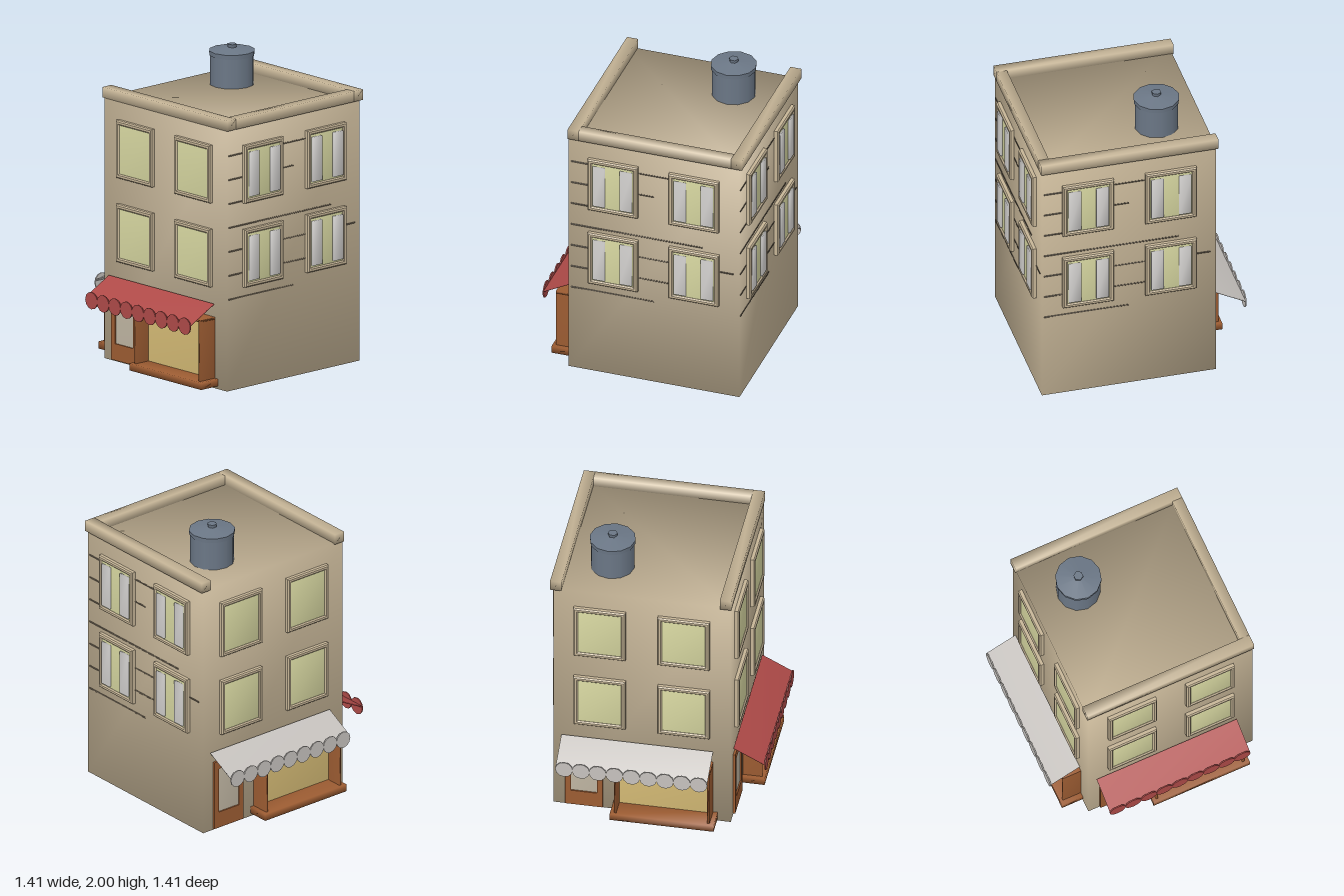
import * as THREE from 'three';
import { mergeVertices } from 'three/addons/utils/BufferGeometryUtils.js';

const mat = (name, color) => {
  const m = new THREE.MeshStandardMaterial({ color });
  m.name = name;
  return m;
};

// Box spanning two corners, with normals shared across its edges for soft shading
function softBox(x0, x1, y0, y1, z0, z1) {
  const g = new THREE.BoxGeometry(x1 - x0, y1 - y0, z1 - z0);
  g.deleteAttribute('uv');
  g.deleteAttribute('normal');
  const soft = mergeVertices(g);
  soft.computeVertexNormals();
  return soft.translate((x0 + x1) / 2, (y0 + y1) / 2, (z0 + z1) / 2);
}

function add(parent, name, geometry, material) {
  const mesh = new THREE.Mesh(geometry, material);
  mesh.name = name;
  parent.add(mesh);
  return mesh;
}

function group(parent, name) {
  const g = new THREE.Group();
  g.name = name;
  parent.add(g);
  return g;
}

// Flat border with a rectangular opening; corners are [x0, x1, y0, y1]
function frameGeometry(outer, inner, depth, bevel) {
  const corners = ([x0, x1, y0, y1]) => [[x0, y0], [x1, y0], [x1, y1], [x0, y1]].map(([x, y]) => new THREE.Vector2(x, y));
  const shape = new THREE.Shape(corners(outer));
  shape.holes.push(new THREE.Path(corners(inner).reverse()));
  return new THREE.ExtrudeGeometry(shape, {
    depth: depth - bevel, bevelEnabled: bevel > 0, bevelSize: bevel,
    bevelThickness: bevel, bevelOffset: -bevel, bevelSegments: 1,
  });
}

export function createModel() {
  const model = new THREE.Group();
  model.name = 'cornerShopBuilding';

  const wall = mat('tan plaster', 0xc6b597);
  const groove = mat('dark plaster line', 0x6f6454);
  const pane = mat('pale yellow pane', 0xd6d6a0);
  const curtainWhite = mat('curtain white', 0xd4d2d0);
  const red = mat('awning red', 0xae4a48);
  const grey = mat('awning grey', 0xc6c2be);
  const wood = mat('brown wood', 0x9c5c32);
  const shopGlass = mat('warm shop window', 0xd3b974);
  const doorGlass = mat('door glass', 0xbfb5a2);
  const slate = mat('slate metal', 0x6b7786);

  // Body and the parapet on three sides
  add(model, 'body', softBox(-0.49, 0.67, 0, 1.735, -0.67, 0.49), wall);
  const parapet = group(model, 'parapet');
  add(parapet, 'frontRail', softBox(-0.5, 0.68, 1.73, 1.8, 0.42, 0.495), wall);
  add(parapet, 'backRail', softBox(-0.5, 0.68, 1.73, 1.8, -0.69, -0.615), wall);
  add(parapet, 'sideRail', softBox(0.61, 0.68, 1.73, 1.8, -0.615, 0.42), wall);

  // Water tank on the roof
  const tank = group(model, 'waterTank');
  tank.position.set(-0.18, 0, -0.34);
  add(tank, 'tankBody', new THREE.CylinderGeometry(0.143, 0.143, 0.21, 12).translate(0, 1.835, 0), slate);
  add(tank, 'tankLidRim', new THREE.CylinderGeometry(0.15, 0.148, 0.03, 12).translate(0, 1.945, 0), slate);
  add(tank, 'tankLid', new THREE.CylinderGeometry(0.02, 0.15, 0.02, 12).translate(0, 1.97, 0), slate);
  add(tank, 'tankKnob', new THREE.CylinderGeometry(0.032, 0.028, 0.03, 6).translate(0, 1.985, 0), slate);

  // One facade: x runs along the wall from its centre, z = 0.58 is the wall surface
  const Z = 0.58;
  const windowFrame = frameGeometry([-0.17, 0.17, -0.192, 0.192], [-0.14, 0.14, -0.162, 0.162], 0.03, 0.008);
  const paneBox = softBox(-0.141, 0.141, -0.163, 0.163, -0.005, 0.02);
  const curtainBox = softBox(-0.041, 0.041, -0.15, 0.145, 0, 0.033);

  function addWindows(facade, curtains) {
    for (const y of [0.862, 1.42]) {
      for (const x of [-0.275, 0.275]) {
        const w = group(facade, 'window');
        w.position.set(x, y, Z);
        add(w, 'windowFrame', windowFrame, wall);
        add(w, 'windowPane', paneBox, pane);
        if (!curtains) continue;
        for (const side of [-1, 1]) add(w, 'curtain', curtainBox, curtainWhite).position.x = side * 0.092;
      }
    }
  }

  // Thin horizontal lines, each with its own length
  function addLines(facade) {
    const ends = [0, 0.11, 0.54, 0.33, -0.44, 0, 0.11];
    ends.forEach((end, i) => {
      const y = 0.607 + i * 0.159;
      add(facade, 'wallLine', softBox(-0.565, end, y - 0.004, y + 0.004, Z - 0.002, Z + 0.003), groove);
    });
  }

  // Door, display bay and awning
  function addShop(facade, awningMat) {
    const shop = group(facade, 'shopFront');

    const door = group(shop, 'door');
    add(door, 'doorFrame', frameGeometry([-0.5, -0.255, 0.01, 0.485], [-0.462, -0.292, 0.12, 0.43], 0.015, 0), wood)
      .position.z = Z;
    add(door, 'doorPane', softBox(-0.465, -0.289, 0.118, 0.432, Z - 0.002, Z + 0.006), doorGlass);

    const bay = group(shop, 'displayBay');
    add(bay, 'bayPane', softBox(-0.15, 0.455, 0.06, 0.46, Z - 0.005, Z + 0.015), shopGlass);
    for (const x of [-0.16, 0.45]) add(bay, 'baySide', softBox(x, x + 0.015, 0.06, 0.47, Z - 0.005, 0.707), wood);
    add(bay, 'bayTop', softBox(-0.16, 0.465, 0.458, 0.473, Z - 0.005, 0.707), wood);
    add(bay, 'baySill', softBox(-0.185, 0.495, 0.02, 0.067, Z - 0.005, 0.727), wood);

    const awning = group(shop, 'awning');
    const slope = add(awning, 'awningSlope', softBox(-0.495, 0.495, -0.004, 0.004, -0.114, 0.114), awningMat);
    slope.position.set(-0.03, 0.507, 0.69);
    slope.rotation.x = Math.atan2(0.105, 0.2);
    const scallop = new THREE.CylinderGeometry(0.057, 0.057, 0.008, 12).rotateX(Math.PI / 2);
    for (let i = 0; i < 9; i++) {
      add(awning, 'awningScallop', scallop, awningMat).position.set(-0.47 + i * 0.11, 0.44, 0.793);
    }
  }

  // Four facades turned about the centre of the body
  const facades = [
    { name: 'frontFacade', turn: 0, awning: red },
    { name: 'leftFacade', turn: 1 },
    { name: 'backFacade', turn: 2 },
    { name: 'rightFacade', turn: 3, awning: grey },
  ];
  for (const { name, turn, awning } of facades) {
    const facade = group(model, name);
    facade.position.set(0.09, 0, -0.09);
    facade.rotation.y = turn * Math.PI / 2;
    addWindows(facade, !awning);
    if (awning) addShop(facade, awning);
    else addLines(facade);
  }
  return model;
}
